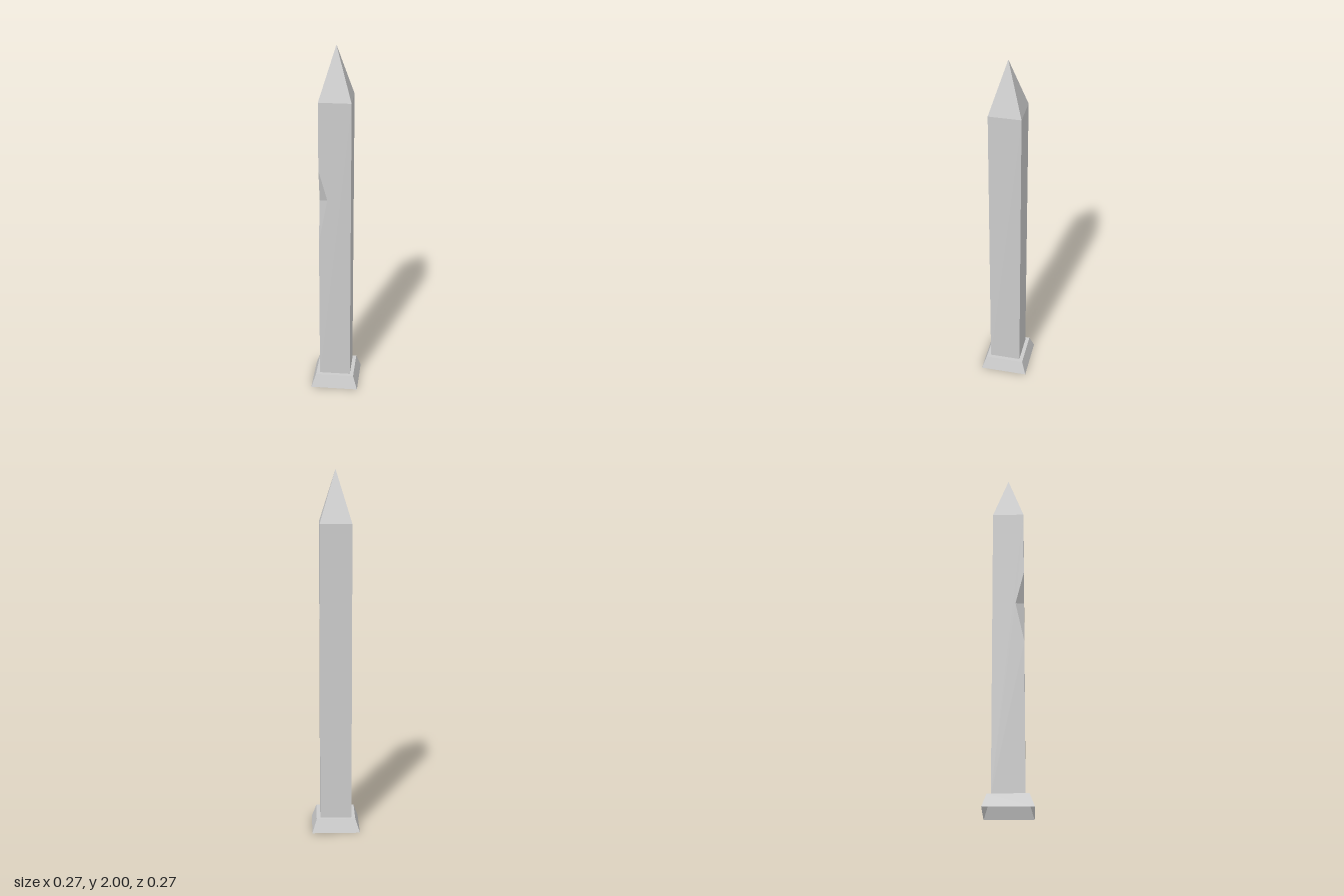
import * as THREE from 'three';
import { mergeGeometries } from 'three/addons/utils/BufferGeometryUtils.js';

const HALF = 0.087, BASE_TOP = 0.074, SHAFT_TOP = 1.717;
const CHIP_TOP = 1.34, CHIP_BOTTOM = 0.92;

const stone = new THREE.MeshStandardMaterial({ color: 0xcccccc, flatShading: true, side: THREE.DoubleSide });

// four-sided shell from [halfWidth, y] pairs, bottom to top
function squareShell(profile) {
  const points = profile.map(([half, y]) => new THREE.Vector2(half * Math.SQRT2, y));
  const geometry = new THREE.LatheGeometry(points, 4, Math.PI / 4).toNonIndexed();
  geometry.computeVertexNormals();
  return geometry;
}

// one shaft side, optionally with a notch in its left (-1) or right (+1) edge
function shaftSide(angle, edge = 0, apex = []) {
  const outline = [[-HALF, BASE_TOP], [HALF, BASE_TOP]];
  const notch = [[edge * HALF, CHIP_BOTTOM], apex, [edge * HALF, CHIP_TOP]];
  if (edge > 0) outline.push(...notch);
  outline.push([HALF, SHAFT_TOP], [-HALF, SHAFT_TOP]);
  if (edge < 0) outline.push(...notch.reverse());
  const shape = new THREE.Shape(outline.map(([x, y]) => new THREE.Vector2(x, y)));
  return new THREE.ShapeGeometry(shape).translate(0, 0, HALF).rotateY(angle);
}

export function createModel() {
  const model = new THREE.Group();
  model.name = 'obelisk';
  const add = (name, geometry) => {
    const mesh = new THREE.Mesh(geometry, stone);
    mesh.name = name;
    model.add(mesh);
  };

  // hollow plinth with sloping sides and a narrow ledge
  add('plinth', squareShell([[0.133, 0], [0.108, BASE_TOP], [HALF, BASE_TOP]]));

  // shaft, notched where the front and -x sides meet
  add('shaft', mergeGeometries([
    shaftSide(0, -1, [-0.04, 1.17]),
    shaftSide(Math.PI / 2),
    shaftSide(Math.PI),
    shaftSide(-Math.PI / 2, 1, [0.04, 1.15]),
  ]));

  // broken stone inside the chip: an upper and a lower facet
  const top = [-HALF, CHIP_TOP, HALF], bottom = [-HALF, CHIP_BOTTOM, HALF];
  const front = [-0.04, 1.17, HALF], side = [-HALF, 1.15, 0.04];
  const chip = new THREE.BufferGeometry();
  chip.setAttribute('position', new THREE.Float32BufferAttribute(
    [top, side, front, bottom, front, side].flat(), 3));
  chip.computeVertexNormals();
  add('chip', chip);

  // pyramid tip
  add('tip', squareShell([[HALF, SHAFT_TOP], [0, 2]]));

  return model;
}
